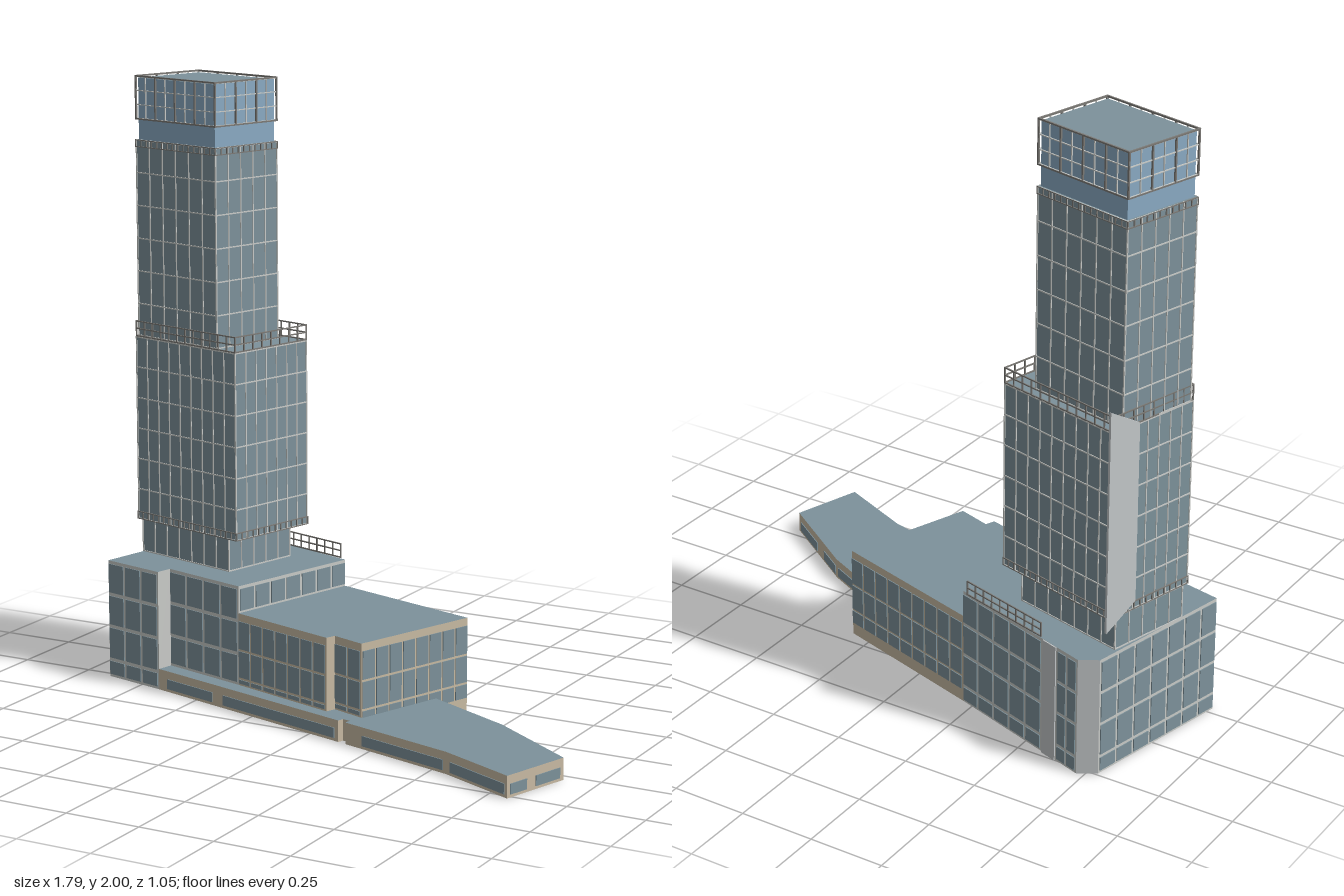
import * as THREE from 'three';
import { mergeGeometries } from 'three/addons/utils/BufferGeometryUtils.js';

const flat = (name, color) => new THREE.MeshStandardMaterial({ name, color, side: THREE.DoubleSide });

// Collects pieces by material; walls run from plan point a to b, outside on the right-hand side (+z when going +x)
function part(name) {
  const bins = new Map();
  const add = (mat, geo) => {
    if (!bins.has(mat)) bins.set(mat, []);
    bins.get(mat).push(geo);
  };
  const place = (geo, a, b) =>
    geo.rotateY(-Math.atan2(b[1] - a[1], b[0] - a[0])).translate(a[0], 0, a[1]);
  const len = (a, b) => Math.hypot(b[0] - a[0], b[1] - a[1]);
  const p = {
    // plate covering fractions f0..f1 of a wall
    plate(mat, a, b, f0, f1, y0, y1, depth = 0.006, off = 0) {
      const L = len(a, b);
      const g = new THREE.BoxGeometry((f1 - f0) * L, y1 - y0, depth);
      add(mat, place(g.translate((f0 + f1) * L / 2, (y0 + y1) / 2, off), a, b));
    },
    wall(mat, a, b, y0, y1) {
      const L = len(a, b);
      add(mat, place(new THREE.PlaneGeometry(L, y1 - y0).translate(L / 2, (y0 + y1) / 2, 0), a, b));
    },
    // horizontal surface
    slab(mat, pts, y) {
      const s = new THREE.Shape(pts.map(([x, z]) => new THREE.Vector2(x, -z)));
      add(mat, new THREE.ShapeGeometry(s).rotateX(-Math.PI / 2).translate(0, y, 0));
    },
    // bars dividing a wall into columns and rows
    bars(mat, a, b, y0, y1, cols, rows, w = 0.005, depth = 0.006) {
      const h = w / len(a, b) / 2;
      for (let i = 0; i <= cols; i++) p.plate(mat, a, b, i / cols - h, i / cols + h, y0, y1, depth);
      for (let j = 0; j <= rows; j++) {
        const y = Math.min(y1 - w / 2, Math.max(y0 + w / 2, y0 + (y1 - y0) * j / rows));
        p.plate(mat, a, b, 0, 1, y - w / 2, y + w / 2, depth);
      }
    },
    // window panes in columns between f0 and f1, one row per [y0, y1]
    panes(mat, a, b, cols, rows, f0 = 0, f1 = 1, gap = 0.01) {
      const m = gap / len(a, b) / 2, w = (f1 - f0) / cols;
      for (let i = 0; i < cols; i++)
        for (const [y0, y1] of rows)
          p.plate(mat, a, b, f0 + i * w + m, f0 + (i + 1) * w - m, y0, y1, 0.003, 0.003);
    },
    edges(pts, fn) {
      pts.forEach((a, i) => {
        const b = pts[(i + 1) % pts.length];
        fn(a, b, len(a, b), i);
      });
    },
    done() {
      const g = new THREE.Group();
      g.name = name;
      for (const [mat, geos] of bins) {
        const m = new THREE.Mesh(mergeGeometries(geos), mat);
        m.name = `${name} ${mat.name}`;
        g.add(m);
      }
      return g;
    },
  };
  return p;
}

const resize = (pts, k) => {
  const c = [0, 1].map(i => pts.reduce((s, q) => s + q[i], 0) / pts.length);
  return pts.map(q => q.map((v, i) => c[i] + (v - c[i]) * k));
};

export function createModel() {
  const glass = flat('slate glass', 0x7d929b);
  const pale = flat('pale frame', 0xc9cbc8);
  const tan = flat('tan frame', 0xc9bba4);
  const blue = flat('crown blue', 0x8aabc4);
  const rail = flat('railing grey', 0x7c7a76);
  const panel = flat('light grey panel', 0xc3c7c9);
  const model = new THREE.Group();

  // shared plan points
  const west = [-0.897, 0.026], stepOut = [-0.67, 0.078], stepIn = [-0.657, 0.024];
  const joinF = [-0.345, 0.108], joinB = [-0.21, -0.36];
  const chamB = [-0.725, -0.527], chamW = [-0.782, -0.492];
  const nookA = [0.042, 0.222], nookB = [0.055, 0.19], eastF = [0.17, 0.228], eastB = [0.325, -0.2];

  // tall base block
  const base = part('tall base');
  const H = 0.4, rows4 = [[0.01, 0.055], [0.067, 0.17], [0.182, 0.28], [0.292, 0.39]];
  const upper3 = [[0.08, 0.17], ...rows4.slice(2)];
  base.slab(glass, [west, stepOut, stepIn, joinF, joinB, chamB, chamW], H);
  base.wall(pale, west, stepOut, 0, H);
  base.panes(glass, west, stepOut, 3, rows4);
  base.wall(pale, stepOut, stepIn, 0.07, H);
  base.wall(pale, stepIn, joinF, 0.07, H);
  base.panes(glass, stepIn, joinF, 4, upper3);
  base.wall(pale, joinF, joinB, 0, H);
  base.panes(glass, joinF, joinB, 7, [[0.318, 0.39]]);
  base.wall(pale, joinB, chamB, 0, H);
  base.panes(glass, joinB, chamB, 5, rows4, 0, 0.7);
  base.plate(panel, joinB, chamB, 0.71, 0.82, 0, H, 0.004, 0.003);
  base.panes(glass, joinB, chamB, 2, rows4, 0.83, 1);
  base.wall(panel, chamB, chamW, 0, H);
  base.wall(pale, chamW, west, 0, H);
  base.panes(glass, chamW, west, 7, rows4);
  model.add(base.done());

  // middle block
  const mid = part('middle block');
  const M = 0.31, rows3 = [[0.045, 0.09], [0.098, 0.185], [0.193, 0.285]];
  const front3 = [[0.077, 0.09], ...rows3.slice(1)];
  mid.slab(glass, [joinF, nookA, nookB, eastF, eastB, joinB], M);
  for (const [a, b, cols, y0, rows] of [
    [joinF, nookA, 7, 0.07, front3], [nookA, nookB, 0, 0.07, front3], [nookB, eastF, 2, 0.07, front3],
    [eastF, eastB, 8, 0, rows3], [eastB, joinB, 9, 0, rows3]]) {
    mid.wall(tan, a, b, y0, M);
    mid.panes(glass, a, b, cols, rows, 0, 1, 0.008);
  }
  model.add(mid.done());

  // low podium with its tapering wing
  const pod = part('low podium');
  const P = 0.07;
  const rim = [stepOut, [0.12, 0.287], [0.127, 0.268], [0.153, 0.272], [0.15, 0.295], [0.557, 0.405],
    [0.816, 0.52], [0.89, 0.285], [0.587, 0.08], [0.275, -0.07]];
  pod.slab(glass, [...rim, eastF, nookB, nookA, joinF, stepIn], P);
  const strips = { 0: [[0.05, 0.31], [0.37, 0.98]], 4: [[0.17, 0.97]], 5: [[0.07, 0.96]],
    6: [[0.05, 0.34], [0.5, 0.93]], 7: [[0.06, 0.5], [0.68, 0.98]], 8: [[0.04, 0.65]] };
  rim.slice(0, -1).forEach((a, i) => {
    pod.wall(tan, a, rim[i + 1], 0, P);
    for (const [f0, f1] of strips[i] || []) pod.plate(glass, a, rim[i + 1], f0, f1, 0.01, 0.043);
  });
  model.add(pod.done());

  // tower outlines: front-left, front-right, back-right, back-left in plan
  const lower = [[-0.868, -0.122], [-0.42, -0.007], [-0.337, -0.325], [-0.782, -0.443]];
  const top = [[-0.866, -0.135], [-0.508, -0.041], [-0.437, -0.31], [-0.79, -0.403]];
  const neckPts = [[-0.862, -0.138], [-0.467, -0.037], [-0.396, -0.312], [-0.787, -0.415]];

  const shaft = (name, pts, y0, y1, pitch, rows) => {
    const t = part(name);
    t.edges(pts, (a, b, L) => {
      t.wall(glass, a, b, y0, y1);
      t.bars(pale, a, b, y0, y1, Math.round(L / pitch), rows, 0.004, 0.005);
    });
    t.slab(glass, pts, y0);
    t.slab(glass, pts, y1);
    model.add(t.done());
  };
  shaft('tower neck', neckPts, H, 0.515, 0.055, 1);
  shaft('lower tower', lower, 0.515, 1.137, 0.05, 6);
  shaft('upper tower', top, 1.137, 1.79, 0.06, 6);

  // railings and lattice bands around the towers
  const fence = (name, pts, y0, y1, pitch, rows, w) => {
    const f = part(name);
    f.edges(pts, (a, b, L) => f.bars(rail, a, b, y0, y1, Math.round(L / pitch), rows, w, 0.004));
    model.add(f.done());
  };
  fence('terrace railing', lower, 1.137, 1.19, 0.04, 2, 0.004);
  fence('lower lattice band', resize(lower, 1.01), 0.515, 0.542, 0.025, 1, 0.003);
  fence('upper lattice band', resize(top, 1.01), 1.765, 1.79, 0.025, 1, 0.003);

  // railing along the back edge of the base roof
  const back = part('roof railing');
  back.bars(rail, [-0.235, -0.374], [-0.56, -0.469], H, 0.45, 9, 2, 0.004, 0.004);
  model.add(back.done());

  // crown: blue core inside an open screen
  const crown = part('crown');
  const core = resize(top, 0.965);
  crown.edges(core, (a, b) => crown.wall(blue, a, b, 1.79, 1.992));
  crown.slab(glass, core, 1.992);
  crown.edges(top, (a, b, L) => {
    crown.bars(rail, a, b, 1.855, 2, Math.round(L / 0.09), 1, 0.005, 0.006);
    crown.bars(pale, a, b, 1.858, 1.997, Math.round(L / 0.045), 3, 0.003, 0.004);
  });
  model.add(crown.done());

  // tall fin on the tower's rear corner, with slanted ends
  const s = new THREE.Shape([[0, 0.55], [0.12, 0.48], [0.12, 1.215], [0, 1.145]].map(q => new THREE.Vector2(...q)));
  const fin = new THREE.Mesh(new THREE.ExtrudeGeometry(s, { depth: 0.008, bevelEnabled: false }), panel);
  fin.name = 'corner fin';
  fin.position.set(-0.808, 0, -0.35);
  fin.rotation.y = Math.atan2(0.964, 0.264);
  fin.translateZ(-0.012);
  model.add(fin);

  return model;
}
